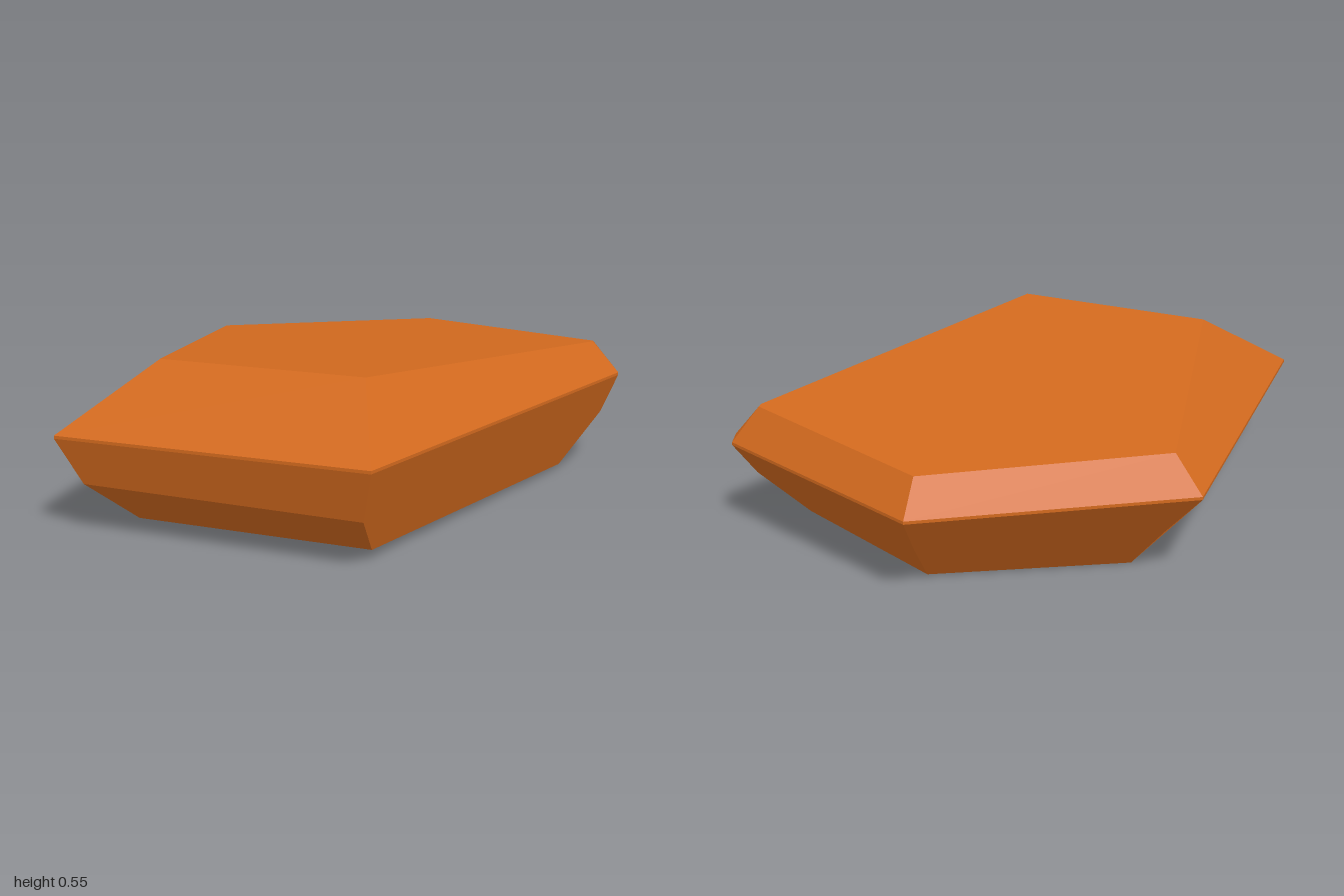
import * as THREE from 'three';

// Corner order in each ring: left, front, right-front pair, right-back, back
const bottom = [[-0.74, 0.02, -0.06], [-0.39, 0.035, 0.67], [0.737, 0.015, 0.412], [0.74, 0.015, 0.405], [0.70, 0.006, -0.23], [0.14, 0, -0.56]];
const knee = [[-0.93, 0.17, -0.08], [-0.5, 0.17, 0.755], [0.905, 0.19, 0.452], [0.91, 0.19, 0.445], [0.80, 0.15, -0.31], [0.115, 0.15, -0.69]];
const girdle = [[-1, 0.325, -0.13], [-0.53, 0.345, 0.82], [0.96, 0.325, 0.48], [0.997, 0.315, 0.44], [0.888, 0.292, -0.39], [0.09, 0.298, -0.823]];
const top = [[-0.65, 0.535, -0.05], [-0.34, 0.546, 0.58], [0.90, 0.44, 0.407], [0.915, 0.438, 0.395], [0.82, 0.41, -0.35], [0.11, 0.42, -0.72]];

// One normal per polygon keeps every facet perfectly flat-shaded
function facetGeometry(polygons) {
  const positions = [], normals = [];
  for (const poly of polygons) {
    const n = new THREE.Vector3();
    poly.forEach((p, i) => {
      const q = poly[(i + 1) % poly.length];
      n.x += (p[1] - q[1]) * (p[2] + q[2]);
      n.y += (p[2] - q[2]) * (p[0] + q[0]);
      n.z += (p[0] - q[0]) * (p[1] + q[1]);
    });
    n.normalize();
    for (let i = 1; i < poly.length - 1; i++) {
      for (const p of [poly[0], poly[i], poly[i + 1]]) {
        positions.push(...p);
        normals.push(n.x, n.y, n.z);
      }
    }
  }
  const geometry = new THREE.BufferGeometry();
  geometry.setAttribute('position', new THREE.Float32BufferAttribute(positions, 3));
  geometry.setAttribute('normal', new THREE.Float32BufferAttribute(normals, 3));
  return geometry;
}

const lift = (ring, dy) => ring.map(([x, y, z]) => [x, y + dy, z]);

export function createModel() {
  const group = new THREE.Group();
  group.name = 'rock';
  const stone = new THREE.MeshStandardMaterial({ color: 0xd2691e });
  stone.name = 'orange stone';

  const low = lift(girdle, -0.005), high = lift(girdle, 0.005);
  const band = (a, b, i, j) => [a[i], a[j], b[j], b[i]];
  const lower = [[...bottom].reverse()], edge = [], upper = [top];
  for (let i = 0; i < 6; i++) {
    const j = (i + 1) % 6;
    // The left flank bends at the knee; the other flanks are single facets
    if (i === 0) lower.push(band(bottom, knee, i, j), band(knee, low, i, j));
    else lower.push([bottom[i], bottom[j], knee[j], low[j], low[i], knee[i]]);
    edge.push(band(low, high, i, j));
    upper.push(band(high, top, i, j));
  }

  const add = (name, polygons) => {
    const mesh = new THREE.Mesh(facetGeometry(polygons), stone);
    mesh.name = name;
    group.add(mesh);
  };
  add('rockBase', lower);
  add('rockEdge', edge);
  add('rockCap', upper);
  return group;
}
